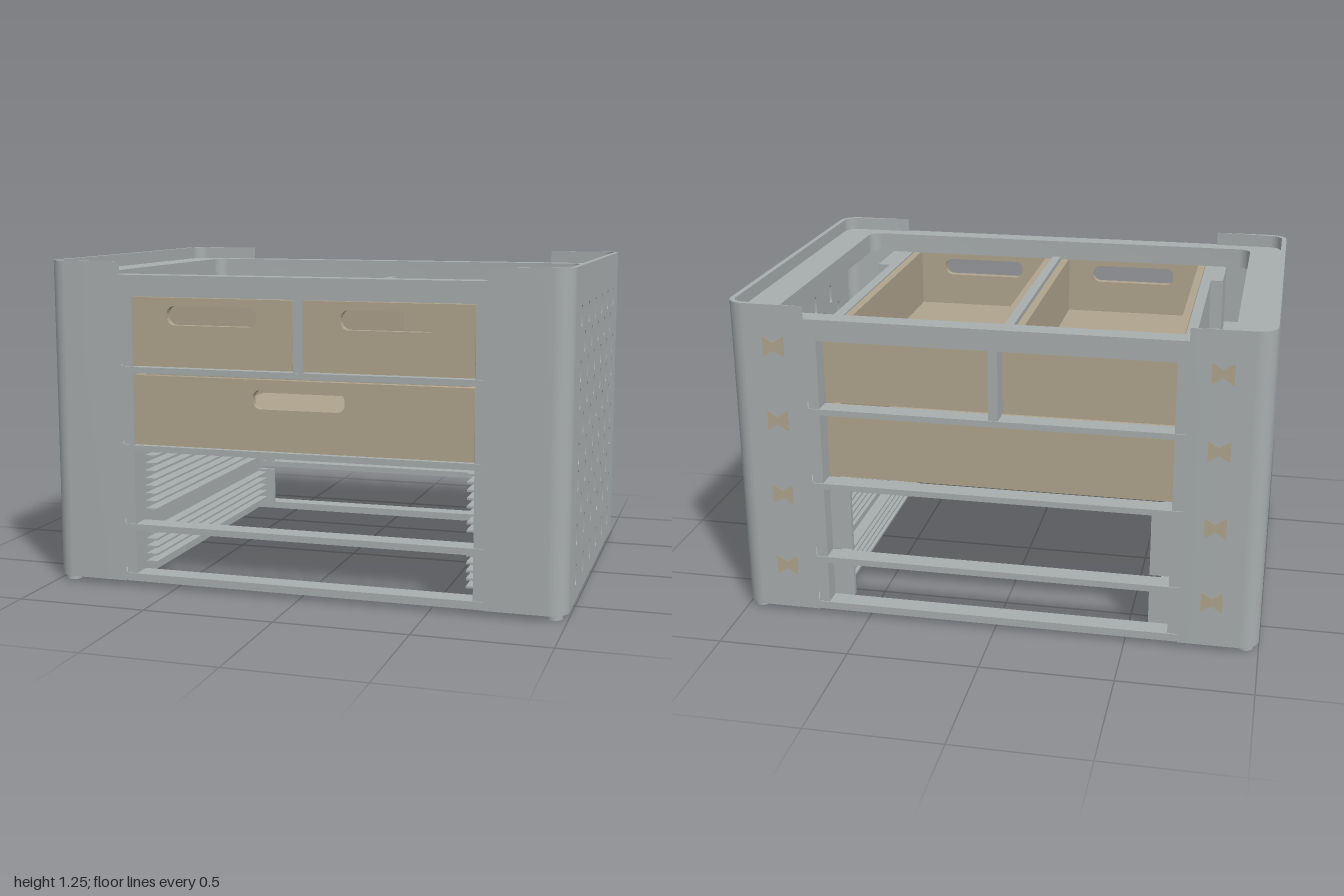
import * as THREE from 'three';
import { toCreasedNormals } from 'three/addons/utils/BufferGeometryUtils.js';

const grey = new THREE.MeshStandardMaterial({ color: 0xa8adae });
grey.name = 'light grey frame';
const tan = new THREE.MeshStandardMaterial({ color: 0xb0a48e });
tan.name = 'tan drawer';

function add(parent, name, geometry, material) {
  const mesh = new THREE.Mesh(geometry, material);
  mesh.name = name;
  parent.add(mesh);
  return mesh;
}

// Box given by its lower and upper corners
function box(parent, name, material, x0, x1, y0, y1, z0, z1) {
  const g = new THREE.BoxGeometry(x1 - x0, y1 - y0, z1 - z0);
  g.translate((x0 + x1) / 2, (y0 + y1) / 2, (z0 + z1) / 2);
  return add(parent, name, g, material);
}

function extrude(shape, depth) {
  return new THREE.ExtrudeGeometry(shape, { depth, bevelEnabled: false, curveSegments: 10 });
}

// Plan outline raised from y0 to y1
function plan(shape, y0, y1) {
  const g = extrude(shape, y1 - y0);
  g.rotateX(-Math.PI / 2);
  g.translate(0, y0, 0);
  return toCreasedNormals(g, 0.6);
}

function roundedRect(cx, cy, w, h, r, P = THREE.Path) {
  const p = new P(), a = w / 2 - r, b = h / 2 - r, q = Math.PI / 2;
  p.absarc(cx + a, cy + b, r, 0, q);
  p.absarc(cx - a, cy + b, r, q, 2 * q);
  p.absarc(cx - a, cy - b, r, 2 * q, 3 * q);
  p.absarc(cx + a, cy - b, r, 3 * q, 4 * q);
  p.closePath();
  return p;
}

const polygon = (pts) => new THREE.Shape(pts.map(([x, y]) => new THREE.Vector2(x, y)));

const railLevels = [[0.02, 0.05], [0.22, 0.245], [0.53, 0.553], [0.83, 0.853]];

// One end of the housing, built at +x
function createSide() {
  const side = new THREE.Group();
  side.name = 'sideHousing';

  // Slotted outer wall
  const wall = roundedRect(0, 0.635, 1.3, 1.23, 0.0001, THREE.Shape);
  [1.07, 0.97, 0.87, 0.77, 0.67, 0.57, 0.47, 0.37, 0.27, 0.12].forEach((y, row) => {
    const count = [1, 4, 7].includes(row) ? 5 : 6;
    for (let i = 0; i < count; i++) {
      wall.holes.push(roundedRect((i - (count - 1) / 2) * 0.2, y, 0.028, 0.08, 0.0139));
    }
  });
  const wallGeo = extrude(wall, 0.02);
  wallGeo.rotateY(Math.PI / 2);
  wallGeo.translate(0.98, 0, 0);
  add(side, 'slottedWall', toCreasedNormals(wallGeo, 0.7), grey);

  for (const s of [-1, 1]) {
    // Rounded corner wrapping onto the front and back
    const corner = new THREE.Shape();
    corner.moveTo(0.7, s * 0.7);
    corner.absarc(0.93, s * 0.65, 0.05, s * Math.PI / 2, 0, s > 0);
    corner.absarc(0.93, s * 0.65, 0.07, 0, s * Math.PI / 2, s < 0);
    corner.lineTo(0.7, s * 0.72);
    corner.closePath();
    add(side, 'roundedCorner', plan(corner, 0.02, 1.25), grey);

    // Inner post and horizontal corner plates
    const [za, zb] = s > 0 ? [0.395, 0.64] : [-0.64, -0.395];
    box(side, 'cornerPost', grey, 0.7, 0.75, 0.02, 1.12, za, zb);
    for (const [y0, y1] of railLevels) {
      const plate = polygon([[0.7, s * 0.395], [0.98, s * 0.395], [0.98, s * 0.65],
        [0.965, s * 0.685], [0.93, s * 0.7], [0.7, s * 0.7]]);
      add(side, 'cornerPlate', plan(plate, y0, y1), grey);
    }

    const foot = new THREE.CylinderGeometry(0.03, 0.03, 0.02, 24);
    foot.translate(0.95, 0.01, s * 0.67);
    add(side, 'foot', foot, grey);
  }

  // Inner panel carrying the runner fins
  box(side, 'innerPanel', grey, 0.66, 0.7, 0.02, 1.12, -0.71, 0.71);
  for (const [start, count] of [[0.07, 5], [0.28, 8]]) {
    for (let i = 0; i < count; i++) {
      const y = start + i * 0.03;
      box(side, 'runnerFin', grey, 0.615, 0.66, y, y + 0.008, -0.62, 0.62);
    }
  }
  return side;
}

// Open drawer with a handle slot in its front
function createDrawer(name, x0, x1, y0, y1, handleY) {
  const drawer = new THREE.Group();
  drawer.name = name;
  const cx = (x0 + x1) / 2;
  const front = roundedRect(cx, (y0 + y1) / 2, x1 - x0, y1 - y0, 0.0001, THREE.Shape);
  front.holes.push(roundedRect(cx, handleY, 0.355, 0.072, 0.03));
  const g = extrude(front, 0.03);
  g.translate(0, 0, 0.675);
  add(drawer, 'drawerFront', toCreasedNormals(g, 0.6), tan);
  box(drawer, 'drawerBottom', tan, x0, x1, y0, y0 + 0.02, -0.64, 0.675);
  box(drawer, 'drawerSide', tan, x0, x0 + 0.03, y0 + 0.02, y1, -0.64, 0.675);
  box(drawer, 'drawerSide', tan, x1 - 0.03, x1, y0 + 0.02, y1, -0.64, 0.675);
  box(drawer, 'drawerBack', tan, x0 + 0.03, x1 - 0.03, y0 + 0.02, y1, -0.64, -0.615);
  return drawer;
}

export function createModel() {
  const model = new THREE.Group();
  model.name = 'drawerCabinet';

  // Both housing ends
  const left = createSide();
  const right = createSide();
  right.rotation.y = Math.PI;
  model.add(left, right);

  // Top frame with a large rounded opening
  const quarter = [[0.98, 0.65], [0.965, 0.685], [0.93, 0.7], [0.7, 0.7], [0.7, 0.715]];
  const flip = (sx, sy, pts) => pts.map(([x, y]) => [sx * x, sy * y]);
  const back = [...quarter].reverse();
  const frame = polygon([...quarter, ...flip(-1, 1, back), ...flip(-1, -1, quarter), ...flip(1, -1, back)]);
  frame.holes.push(roundedRect(0, 0, 1.7, 1.27, 0.05));
  add(model, 'topFrame', plan(frame, 1.12, 1.2), grey);

  // Cross rails at front and back
  for (const [y0, y1] of railLevels) {
    box(model, 'frontRail', grey, -0.7, 0.7, y0, y1, 0.63, 0.715);
    box(model, 'backRail', grey, -0.7, 0.7, y0, y1, -0.715, -0.64);
  }

  // Divider between the two upper drawers
  box(model, 'centreDivider', grey, -0.018, 0.018, 0.853, 1.13, -0.712, 0.712);

  // Drawers
  model.add(createDrawer('upperLeftDrawer', 0.022, 0.657, 0.857, 1.117, 1.05));
  model.add(createDrawer('upperRightDrawer', -0.657, -0.022, 0.857, 1.117, 1.05));
  model.add(createDrawer('lowerDrawer', -0.657, 0.657, 0.556, 0.822, 0.748));

  for (const s of [-1, 1]) {
    // Rear stops behind the runner fins
    for (const [y0, y1] of [[0.05, 0.21], [0.25, 0.51]]) {
      const [a, b] = s > 0 ? [0.58, 0.66] : [-0.66, -0.58];
      box(model, 'rearStop', grey, a, b, y0, y1, -0.64, -0.62);
    }
    // Bow-tie joint keys on the back
    for (const y of [0.2, 0.5, 0.8, 1.09]) {
      const key = polygon([[-0.04, -0.04], [0, -0.015], [0.04, -0.04],
        [0.04, 0.04], [0, 0.015], [-0.04, 0.04]]);
      const g = extrude(key, 0.004);
      g.translate(s * 0.82, y, -0.722);
      add(model, 'jointKey', g, tan);
    }
  }
  return model;
}
